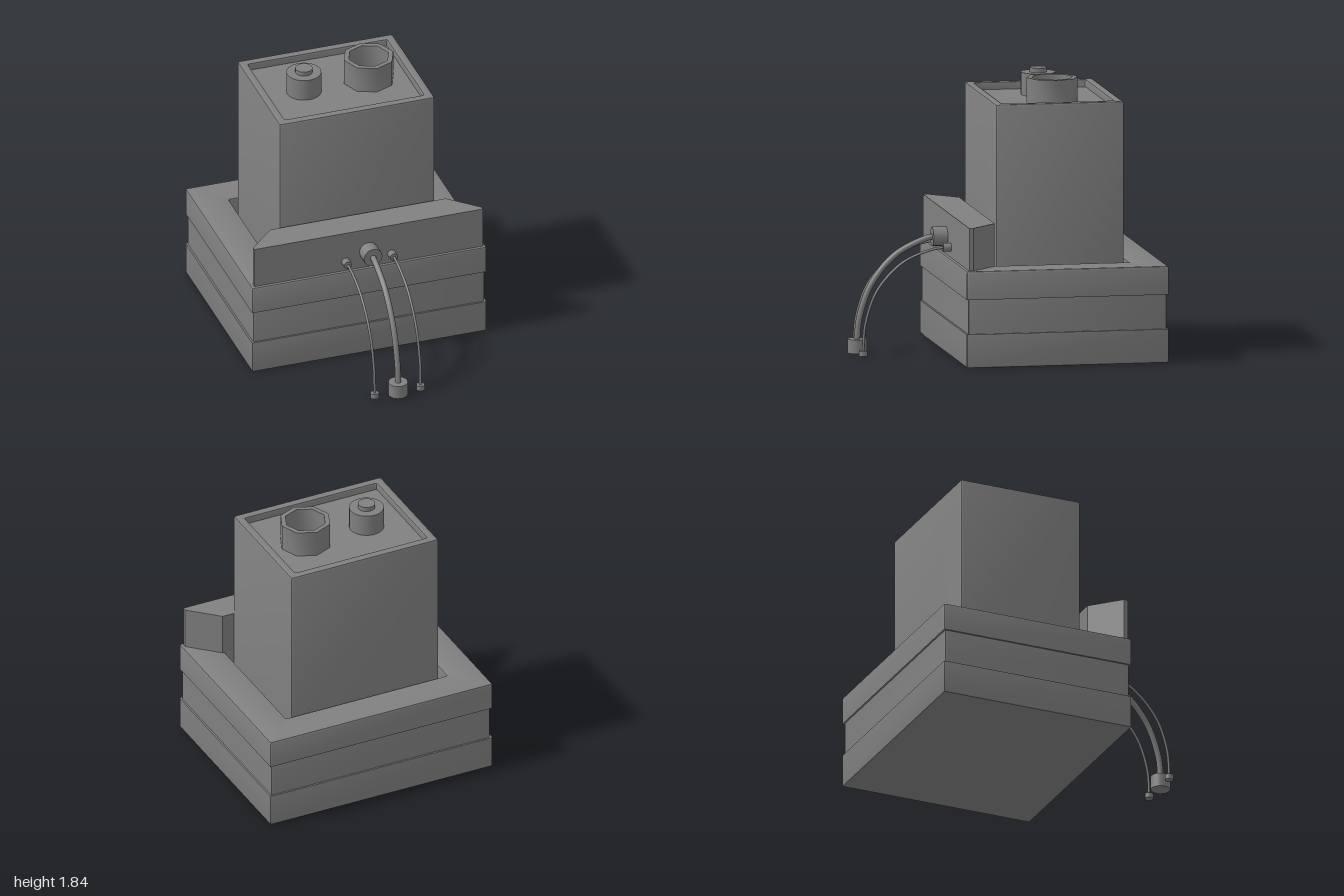
import * as THREE from 'three';
import { toCreasedNormals } from 'three/addons/utils/BufferGeometryUtils.js';

const CZ = -0.322; // centre of the housing along z
const material = new THREE.MeshStandardMaterial({ color: 0x808080, side: THREE.DoubleSide });

function add(parent, name, geometry, x = 0, y = 0, z = 0) {
  const mesh = new THREE.Mesh(geometry, material);
  mesh.name = name;
  mesh.position.set(x, y, z);
  parent.add(mesh);
  return mesh;
}

// Rectangular rings with rounded corners, one per [inset, y] pair, joined into a skin
function rectSweep(hw, hd, profile) {
  const positions = [], index = [], n = 12;
  profile.forEach(([inset, y], i) => {
    const w = hw - inset, d = hd - inset, r = Math.min(0.012, d);
    for (let j = 0; j < n; j++) {
      const q = Math.floor(j / 3), a = (q + (j % 3) / 2) * Math.PI / 2;
      const sx = q === 0 || q === 3 ? 1 : -1, sz = q < 2 ? -1 : 1;
      positions.push(sx * (w - r) + r * Math.cos(a), y, CZ + sz * (d - r) - r * Math.sin(a));
      if (i === 0) continue;
      const k = (j + 1) % n, lo = (i - 1) * n, hi = i * n;
      index.push(lo + j, lo + k, hi + k, lo + j, hi + k, hi + j);
    }
  });
  const geo = new THREE.BufferGeometry();
  geo.setAttribute('position', new THREE.Float32BufferAttribute(positions, 3));
  geo.setIndex(index);
  return toCreasedNormals(geo, 0.6);
}

// Rounded rim from the outer wall over the top and down the inner wall
function rim(outer, inner, y) {
  const b = 0.012, m = 0.0035;
  return [
    [outer, y - b], [outer + m, y - m], [outer + b, y],
    [inner - b, y], [inner - m, y - m], [inner, y - b],
  ];
}

// Connector, curved lead and floor plug
function cable(name, x, o) {
  const group = new THREE.Group();
  group.name = name;
  group.position.x = x;
  const length = o.socketEnd - 0.32;
  add(group, 'socket', new THREE.CylinderGeometry(o.plugR, o.plugR, length, 12).rotateX(Math.PI / 2),
    0, o.y, 0.32 + length / 2);
  const path = new THREE.CatmullRomCurve3(o.points.map(([z, y]) => new THREE.Vector3(0, y, z)));
  add(group, 'lead', new THREE.TubeGeometry(path, 32, o.r, 10));
  add(group, 'plug', new THREE.CylinderGeometry(o.plugR, o.plugR, o.plugH, 16), 0, 0.005 + o.plugH / 2, o.plugZ);
  return group;
}

export function createModel() {
  const model = new THREE.Group();
  model.name = 'machine';

  // Base with two raised bands and an open well around the column
  add(model, 'base', rectSweep(0.818, 0.678, [
    [0.678, 0], [0.012, 0], [0.0035, 0.0035], [0, 0.012], [0, 0.225], [0.012, 0.225],
    [0.012, 0.455], [0, 0.455], ...rim(0, 0.226, 0.645), [0.226, 0.455], [0.678, 0.455],
  ]));

  // Column with a shallow tray in its top
  add(model, 'column', rectSweep(0.541, 0.43, [
    [0, 0.45], ...rim(0, 0.057, 1.71), [0.057, 1.66], [0.43, 1.66],
  ]));

  // Front panel, tapering toward the column
  const panel = new THREE.Shape([
    [-0.797, -0.337], [0.797, -0.337], [0.797, -0.31], [0.61, -0.13], [-0.61, -0.13], [-0.797, -0.31],
  ].map(p => new THREE.Vector2(...p)));
  add(model, 'frontPanel', new THREE.ExtrudeGeometry(panel, { depth: 0.29, bevelEnabled: false })
    .rotateX(-Math.PI / 2), 0, 0.64, 0);

  // Stepped cap and octagonal collar on top
  add(model, 'cap', new THREE.CylinderGeometry(0.115, 0.115, 0.16, 32), -0.223, 1.73, -0.325);
  add(model, 'capKnob', new THREE.CylinderGeometry(0.057, 0.057, 0.04, 24), -0.223, 1.82, -0.325);
  const collar = [[0.172, 0], [0.172, 0.185], [0.138, 0.185], [0.138, 0]].map(p => new THREE.Vector2(...p));
  add(model, 'collar', toCreasedNormals(new THREE.LatheGeometry(collar, 8), 0.9), 0.23, 1.655, -0.33);

  // Hanging leads: one thick, two thin
  model.add(cable('mainCable', 0, {
    y: 0.765, r: 0.02, plugR: 0.065, plugH: 0.093, plugZ: 0.935, socketEnd: 0.432,
    points: [[0.4, 0.768], [0.47, 0.755], [0.68, 0.65], [0.84, 0.46], [0.92, 0.24], [0.937, 0.08]],
  }));
  for (const side of [-1, 1]) {
    model.add(cable(side > 0 ? 'leftCable' : 'rightCable', side * 0.16, {
      y: 0.713, r: 0.009, plugR: 0.028, plugH: 0.035, plugZ: 0.925, socketEnd: 0.39,
      points: [[0.37, 0.715], [0.47, 0.7], [0.66, 0.62], [0.83, 0.44], [0.91, 0.22], [0.926, 0.03]],
    }));
  }
  return model;
}
